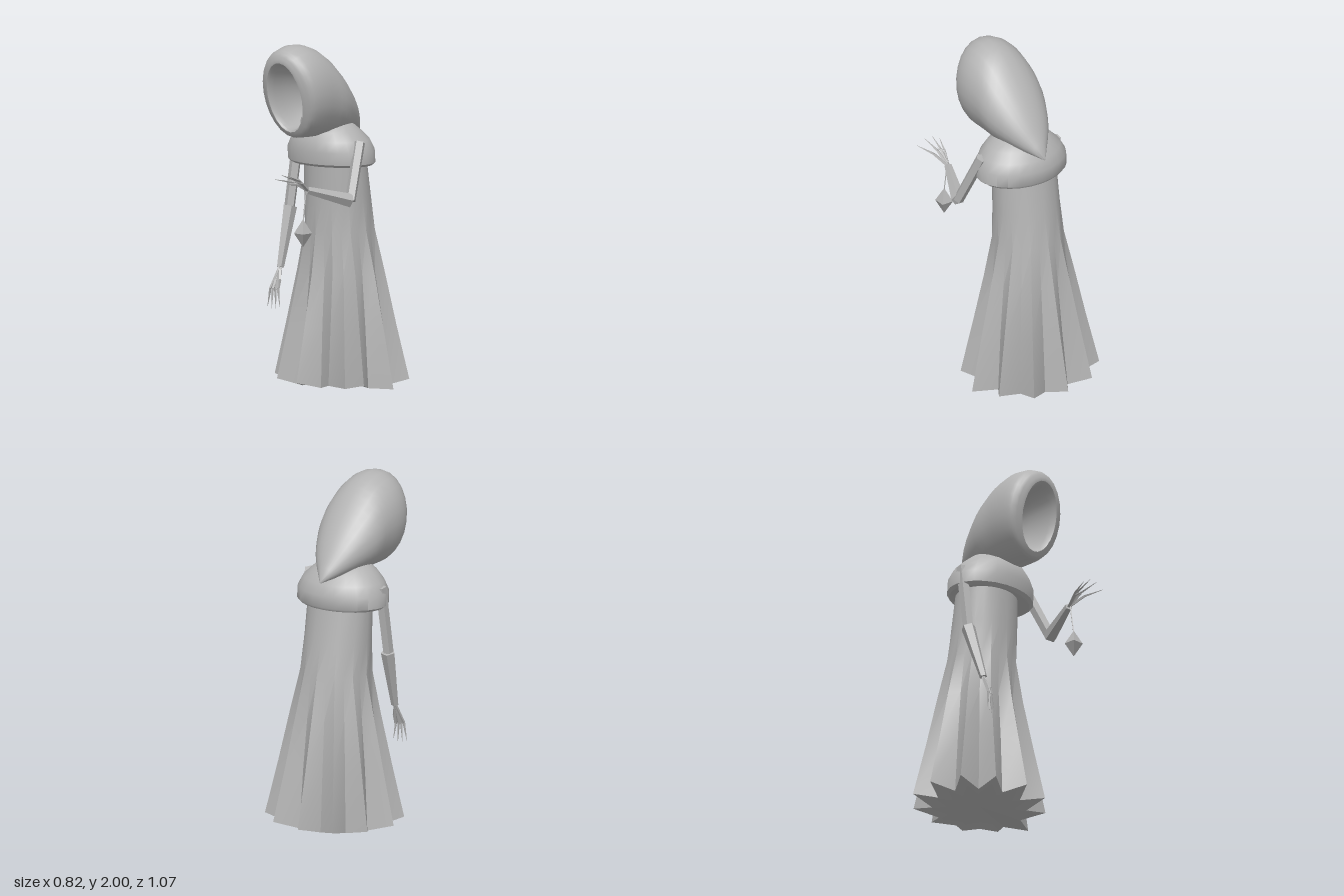
import * as THREE from 'three';
import { toCreasedNormals } from 'three/addons/utils/BufferGeometryUtils.js';

const V = (x, y, z) => new THREE.Vector3(x, y, z);

export function createModel() {
  const model = new THREE.Group();
  model.name = 'hoodedFigure';
  const stone = new THREE.MeshStandardMaterial({ color: 0xb3b3b3 });
  stone.name = 'stone grey';

  const add = (parent, name, geometry, crease = 0.1) => {
    const mesh = new THREE.Mesh(toCreasedNormals(geometry, crease), stone);
    mesh.name = name;
    parent.add(mesh);
    return mesh;
  };

  // Skin over a stack of rings, closed at both ends
  const loft = (rings) => {
    const n = rings[0].length, pos = [], idx = [];
    rings.forEach((ring) => ring.forEach((p) => pos.push(p.x, p.y, p.z)));
    for (let r = 0; r < rings.length - 1; r++) {
      for (let i = 0; i < n; i++) {
        const a = r * n + i, b = r * n + (i + 1) % n;
        idx.push(a, b, b + n, a, b + n, a + n);
      }
    }
    [0, rings.length - 1].forEach((r) => {
      const c = rings[r].reduce((s, p) => s.add(p), V(0, 0, 0)).divideScalar(n);
      const k = pos.length / 3;
      pos.push(c.x, c.y, c.z);
      for (let i = 0; i < n; i++) {
        const a = r * n + i, b = r * n + (i + 1) % n;
        if (r === 0) idx.push(k, b, a); else idx.push(k, a, b);
      }
    });
    const g = new THREE.BufferGeometry();
    g.setAttribute('position', new THREE.Float32BufferAttribute(pos, 3));
    g.setIndex(idx);
    return g;
  };

  // Tapered straight rod between two points
  const limb = (parent, name, a, b, r1, r2, sides = 5) => {
    const d = b.clone().sub(a);
    const mesh = add(parent, name, new THREE.CylinderGeometry(r2, r1, d.length(), sides));
    mesh.position.copy(a).add(b).multiplyScalar(0.5);
    mesh.quaternion.setFromUnitVectors(V(0, 1, 0), d.normalize());
    return mesh;
  };

  // Pleated robe: height, centre z, x radius, z radius, valley depth factor
  const robeLevels = [
    [0, -0.16, 0.41, 0.375, 0.69],
    [0.35, -0.155, 0.335, 0.305, 0.77],
    [0.65, -0.152, 0.268, 0.243, 0.85],
    [0.9, -0.142, 0.21, 0.2, 0.96],
    [1.1, -0.122, 0.2, 0.18, 1],
    [1.35, -0.1, 0.195, 0.16, 1],
  ];
  add(model, 'robe', loft(robeLevels.map(([y, cz, rx, rz, valley]) =>
    Array.from({ length: 24 }, (_, i) => {
      const a = i * Math.PI / 12, f = i % 2 ? valley : 1;
      const lift = y === 0 && i % 2 === 0 && i !== 6 ? 0.035 : 0;
      return V(Math.sin(a) * rx * f, y + lift, cz + Math.cos(a) * rz * f);
    }))), 0.5);

  // Shoulder cape, from the turned-under hem up to the neck
  const capeLevels = [
    [1.31, -0.09, 0.18, 0.15],
    [1.285, -0.08, 0.265, 0.195],
    [1.3, -0.075, 0.285, 0.21],
    [1.37, -0.07, 0.283, 0.213],
    [1.43, -0.065, 0.25, 0.195],
    [1.48, -0.055, 0.2, 0.16],
    [1.52, -0.055, 0.15, 0.115],
    [1.535, -0.055, 0.09, 0.07],
  ];
  add(model, 'cape', loft(capeLevels.map(([y, cz, rx, rz]) =>
    Array.from({ length: 24 }, (_, i) => {
      const a = i * Math.PI / 12;
      return V(Math.sin(a) * rx, y, cz + Math.cos(a) * rz);
    }))), 0.8);

  // Hood, from the back tip over the lip into the hollow:
  // top z, top y, bottom z, bottom y, half width
  const hoodRings = [
    [-0.305, 1.462, -0.305, 1.45, 0.005],
    [-0.17, 1.68, -0.17, 1.46, 0.125],
    [-0.02, 1.86, -0.03, 1.455, 0.197],
    [0.105, 1.965, 0.08, 1.455, 0.212],
    [0.23, 2.0, 0.17, 1.455, 0.216],
    [0.33, 1.975, 0.23, 1.46, 0.2],
    [0.36, 1.93, 0.252, 1.472, 0.158],
    [0.345, 1.895, 0.258, 1.505, 0.127],
    [0.2, 1.87, 0.14, 1.52, 0.115],
    [0.05, 1.82, 0.03, 1.55, 0.09],
  ];
  const topLine = new THREE.CatmullRomCurve3(hoodRings.map((r) => V(r[4], r[1], r[0])), false, 'catmullrom', 0.5);
  const lowLine = new THREE.CatmullRomCurve3(hoodRings.map((r) => V(r[4], r[3], r[2])), false, 'catmullrom', 0.5);
  const steps = (hoodRings.length - 1) * 3;
  const hood = Array.from({ length: steps + 1 }, (_, s) => {
    const t = topLine.getPoint(s / steps), b = lowLine.getPoint(s / steps);
    return Array.from({ length: 24 }, (_, i) => {
      const a = i * Math.PI / 12, k = (1 + Math.sin(a)) / 2;
      return V(Math.cos(a) * t.x, b.y + (t.y - b.y) * k, b.z + (t.z - b.z) * k);
    });
  });
  add(model, 'hood', loft(hood), 0.7);

  // Face in the hollow
  const face = new THREE.Group();
  face.name = 'face';
  model.add(face);
  const blob = (name, x, y, z, sx, sy, sz, w = 10, h = 8) => {
    const g = new THREE.SphereGeometry(1, w, h).scale(sx, sy, sz);
    add(face, name, g, 1).position.set(x, y, z);
  };
  blob('head', 0, 1.69, 0.08, 0.069, 0.115, 0.06, 16, 12);
  blob('mouth', 0, 1.637, 0.13, 0.02, 0.013, 0.008);
  [-1, 1].forEach((s) => blob('eye', s * 0.032, 1.738, 0.123, 0.016, 0.012, 0.008));
  const nose = add(face, 'nose', new THREE.ConeGeometry(0.011, 0.05, 4));
  nose.position.set(0, 1.7, 0.138);
  const neck = add(face, 'neck', new THREE.CylinderGeometry(0.07, 0.08, 0.07, 12), 0.8);
  neck.position.set(0, 1.53, 0.08);

  // Arm with a hand of bent, tapering fingers
  const arm = (name, shoulder, elbow, wrist, fingers) => {
    const g = new THREE.Group();
    g.name = name;
    model.add(g);
    limb(g, 'upperArm', shoulder, elbow, 0.034, 0.032);
    limb(g, 'forearm', elbow, wrist, 0.042, 0.022);
    fingers.forEach(([knuckle, tip]) => {
      limb(g, 'fingerBase', wrist, knuckle, 0.011, 0.008, 4);
      limb(g, 'fingerTip', knuckle, tip, 0.008, 0.001, 4);
    });
  };
  const spread = [-1.5, -0.5, 0.5, 1.5];
  arm('leftArm', V(0.255, 1.43, -0.04), V(0.318, 1.115, 0.1), V(0.212, 1.19, 0.345),
    [...spread.map((s) => [
      V(0.214 + s * 0.025, 1.265 - Math.abs(s) * 0.015, 0.43),
      V(0.216 + s * 0.053, 1.31 - Math.abs(s) * 0.03, 0.535)]),
    [V(0.19, 1.23, 0.41), V(0.185, 1.235, 0.49)]]);
  arm('rightArm', V(-0.25, 1.41, -0.06), V(-0.262, 1.01, 0.0), V(-0.242, 0.67, 0.1),
    [...spread.map((s) => [
      V(-0.242 + s * 0.014, 0.55, 0.15 - s * 0.006),
      V(-0.24 + s * 0.027, 0.43 + Math.abs(s) * 0.01, 0.155 - s * 0.006)]),
    [V(-0.215, 0.6, 0.13), V(-0.21, 0.53, 0.145)]]);

  // Pendant hanging from the raised hand
  const pendant = new THREE.Group();
  pendant.name = 'pendant';
  model.add(pendant);
  limb(pendant, 'cord', V(0.212, 1.2, 0.355), V(0.213, 1.01, 0.383), 0.004, 0.004, 4);
  const gem = new THREE.CylinderGeometry(0.052, 0.001, 0.08, 4, 1, true).rotateY(Math.PI / 4);
  add(pendant, 'gemBottom', gem).position.set(0.213, 0.905, 0.383);
  const crown = new THREE.CylinderGeometry(0.001, 0.052, 0.08, 4, 1, true).rotateY(Math.PI / 4);
  add(pendant, 'gemTop', crown).position.set(0.213, 0.985, 0.383);

  return model;
}
